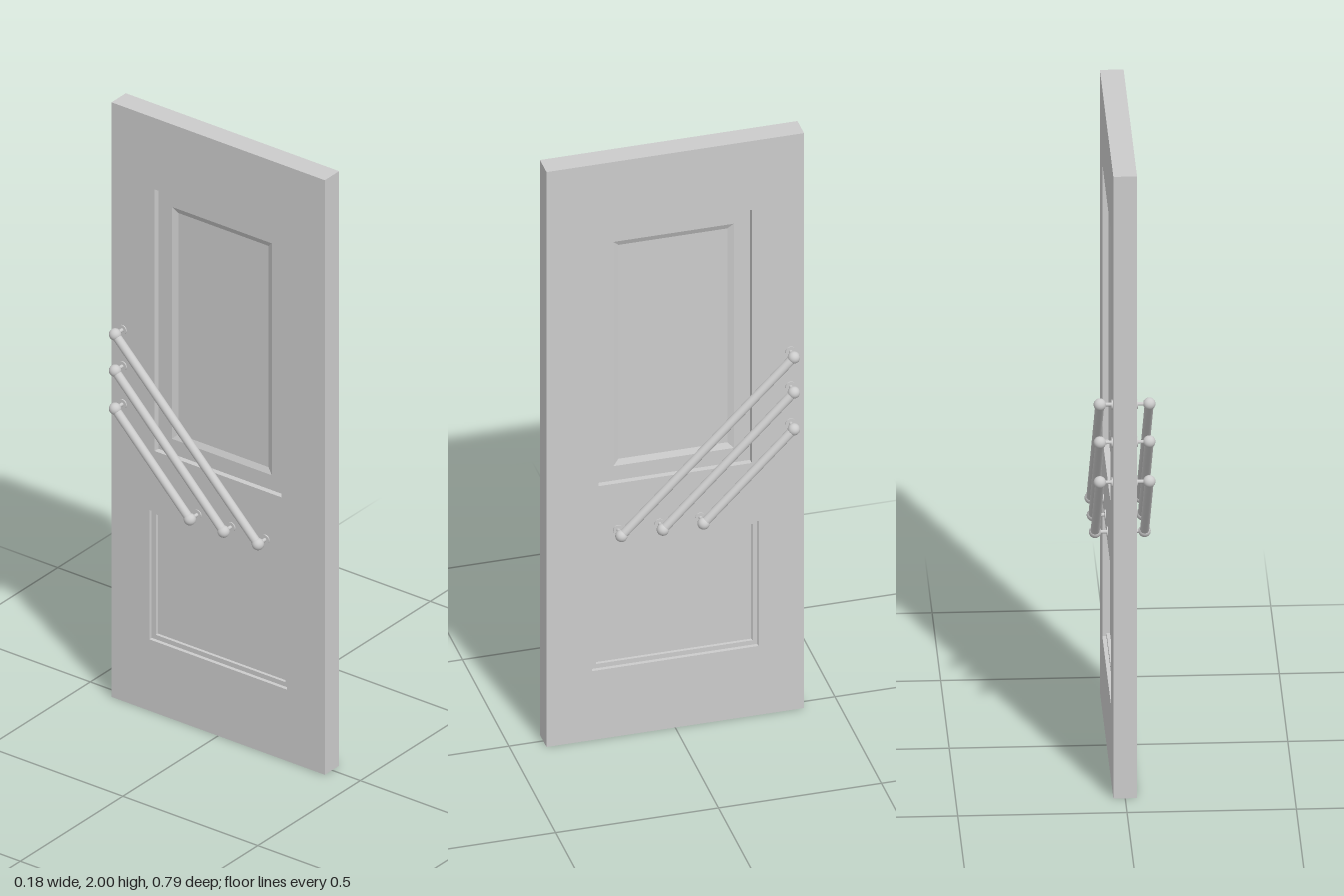
import * as THREE from 'three';

const HALF = 0.035; // half the door thickness
const material = new THREE.MeshStandardMaterial({ color: 0xcccccc });

// Panel openings; rings are [inset from opening edge, depth below door face]
const PANELS = [
  { name: 'upperPanel', w: 0.235, y0: 0.88, y1: 1.76, rings: [[0, 0], [0, 0.018], [0.05, 0.018], [0.068, 0.026]] },
  { name: 'lowerPanel', w: 0.255, y0: 0.24, y1: 0.675, rings: [[0, 0], [0, 0.012], [0.015, 0.012], [0.015, 0.022]] },
];

// Rails: y of the upper end, z of the lower end
const RAILS = [[1.25, 0.176], [1.128, 0.049], [1.0, -0.076]];
const RAIL_X = 0.073, TOP_Z = -0.353, LOW_Y = 0.72;

function add(parent, name, geometry) {
  const mesh = new THREE.Mesh(geometry, material);
  mesh.name = name;
  parent.add(mesh);
  return mesh;
}

// Slab with an opening cut through for each panel
function slabGeometry() {
  const rect = (T, w, y0, y1) => new T([
    new THREE.Vector2(-w, y0), new THREE.Vector2(w, y0),
    new THREE.Vector2(w, y1), new THREE.Vector2(-w, y1),
  ]);
  const shape = rect(THREE.Shape, 0.395, 0, 2);
  for (const p of PANELS) shape.holes.push(rect(THREE.Path, p.w, p.y0, p.y1));
  return new THREE.ExtrudeGeometry(shape, { depth: HALF * 2, bevelEnabled: false })
    .translate(0, 0, -HALF).rotateY(Math.PI / 2);
}

// Stepped recess facing +x: nested rectangles joined by flat quads, closed by a field
function panelGeometry({ w, y0, y1, rings }) {
  const loops = rings.map(([i, d]) => {
    const x = HALF - d, z = w - i;
    return [[x, y0 + i, z], [x, y0 + i, -z], [x, y1 - i, -z], [x, y1 - i, z]];
  });
  const pos = [];
  const quad = (a, b, c, d) => pos.push(...a, ...b, ...c, ...a, ...c, ...d);
  for (let r = 1; r < loops.length - 1; r++) {
    for (let k = 0; k < 4; k++) {
      const n = (k + 1) % 4;
      quad(loops[r][k], loops[r][n], loops[r + 1][n], loops[r + 1][k]);
    }
  }
  quad(...loops[loops.length - 1]);
  const g = new THREE.BufferGeometry();
  g.setAttribute('position', new THREE.Float32BufferAttribute(pos, 3));
  g.computeVertexNormals();
  return g;
}

// Ball finial with its stem and wall rosette
function addMount(parent, side, y, z) {
  const mount = new THREE.Group();
  mount.name = 'railMount';
  mount.position.set(0, y, z);
  add(mount, 'ballFinial', new THREE.SphereGeometry(0.0185, 24, 16)).position.x = side * RAIL_X;
  const stem = add(mount, 'stem', new THREE.CylinderGeometry(0.0055, 0.0055, RAIL_X - HALF, 16).rotateZ(Math.PI / 2));
  stem.position.x = side * (RAIL_X + HALF) / 2;
  const rosette = add(mount, 'rosette', new THREE.CylinderGeometry(0.015, 0.015, 0.004, 24).rotateZ(Math.PI / 2));
  rosette.position.x = side * (HALF + 0.0015);
  parent.add(mount);
}

export function createModel() {
  const door = new THREE.Group();
  door.name = 'door';
  add(door, 'doorSlab', slabGeometry());

  for (const side of [1, -1]) {
    // Recessed panels on this face
    for (const p of PANELS) {
      add(door, p.name, panelGeometry(p)).rotation.y = side > 0 ? 0 : Math.PI;
    }
    // Three diagonal pull rails on this face
    for (const [topY, lowZ] of RAILS) {
      const rail = new THREE.Group();
      rail.name = 'pullRail';
      const a = new THREE.Vector3(side * RAIL_X, LOW_Y, lowZ);
      const b = new THREE.Vector3(side * RAIL_X, topY, TOP_Z);
      const dir = b.clone().sub(a);
      const bar = add(rail, 'bar', new THREE.CylinderGeometry(0.0135, 0.0135, dir.length(), 24));
      bar.position.copy(a).add(b).multiplyScalar(0.5);
      bar.quaternion.setFromUnitVectors(new THREE.Vector3(0, 1, 0), dir.normalize());
      addMount(rail, side, LOW_Y, lowZ);
      addMount(rail, side, topY, TOP_Z);
      door.add(rail);
    }
  }
  return door;
}
